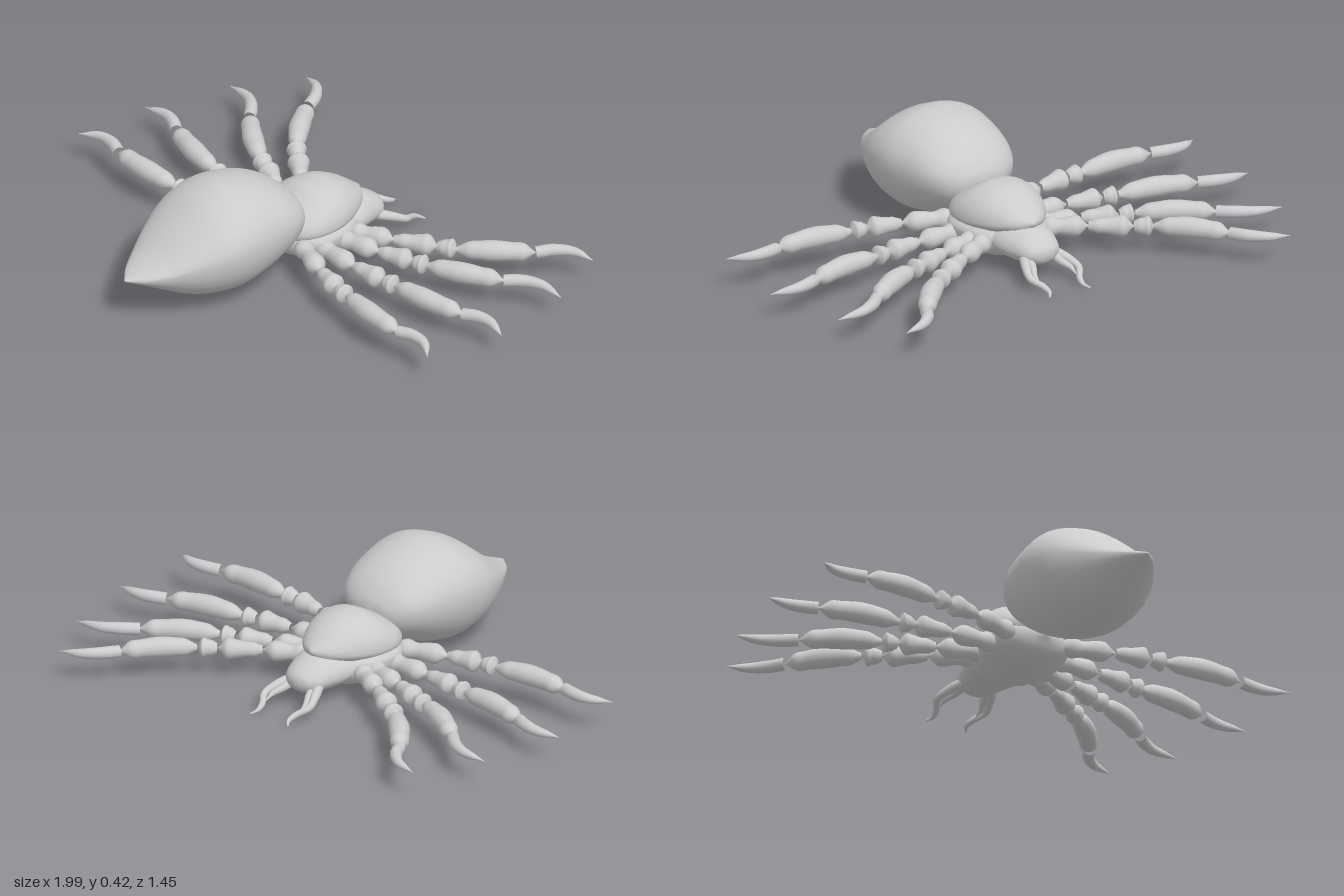
import * as THREE from 'three';
import { mergeVertices } from 'three/addons/utils/BufferGeometryUtils.js';

const material = new THREE.MeshStandardMaterial({ color: 0xcccccc });

function mesh(name, geometry) {
  const m = new THREE.Mesh(geometry, material);
  m.name = name;
  return m;
}

// Smooth body from stations [z, half width, bottom, widest height, top], in order of rising z
function loft(name, stations, rings = 40, sides = 36) {
  const plan = new THREE.CatmullRomCurve3(stations.map(s => new THREE.Vector3(s[0], s[1], 0)));
  const side = new THREE.CatmullRomCurve3(stations.map(s => new THREE.Vector3(s[2], s[3], s[4])));
  const pos = [], index = [];
  for (let i = 0; i <= rings; i++) {
    const p = plan.getPoint(i / rings), q = side.getPoint(i / rings);
    for (let j = 0; j < sides; j++) {
      const a = (j / sides) * Math.PI * 2, s = Math.sin(a);
      pos.push(p.y * Math.cos(a), q.y + s * (s > 0 ? q.z - q.y : q.y - q.x), p.x);
      if (i === rings) continue;
      const k = (j + 1) % sides, r = i * sides, n = r + sides;
      index.push(r + j, r + k, n + j, r + k, n + k, n + j);
    }
  }
  // end caps
  for (const [row, flip] of [[0, true], [rings * sides, false]]) {
    for (let j = 1; j < sides - 1; j++) {
      index.push(row, row + (flip ? j + 1 : j), row + (flip ? j : j + 1));
    }
  }
  const g = new THREE.BufferGeometry();
  g.setAttribute('position', new THREE.Float32BufferAttribute(pos, 3));
  g.setIndex(index);
  g.computeVertexNormals();
  return mesh(name, g);
}

// Tube along points whose radius follows evenly spaced values
function limb(name, points, radii, rings = 20, sides = 14) {
  const curve = new THREE.CatmullRomCurve3(points.map(p => new THREE.Vector3(...p)));
  const g = new THREE.TubeGeometry(curve, rings, 1, sides);
  const profile = new THREE.SplineCurve(radii.map((r, i) => new THREE.Vector2(i, r)));
  const pos = g.attributes.position, v = new THREE.Vector3();
  for (let i = 0; i <= rings; i++) {
    const c = curve.getPointAt(i / rings), r = Math.max(0.001, profile.getPoint(i / rings).y);
    for (let j = 0; j <= sides; j++) {
      const n = i * (sides + 1) + j;
      v.fromBufferAttribute(pos, n).sub(c).multiplyScalar(r).add(c);
      pos.setXYZ(n, v.x, v.y, v.z);
    }
  }
  g.deleteAttribute('uv');
  g.deleteAttribute('normal');
  const smooth = mergeVertices(g, 1e-5);
  smooth.computeVertexNormals();
  return mesh(name, smooth);
}

// Leg joints as [x, z]: hip, trochanter, knee, shin top, ankle, two claw bends, claw tip
const LEGS = [
  { y: 0.105, j: [[0.11, -0.185], [0.26, -0.27], [0.39, -0.36], [0.45, -0.4], [0.635, -0.6], [0.665, -0.655], [0.72, -0.705], [0.8, -0.725]] },
  { y: 0.1, j: [[0.11, -0.13], [0.285, -0.185], [0.41, -0.235], [0.465, -0.255], [0.71, -0.4], [0.755, -0.445], [0.82, -0.48], [0.925, -0.485]] },
  { y: 0.1, j: [[0.11, -0.045], [0.31, -0.055], [0.45, -0.073], [0.505, -0.085], [0.8, -0.145], [0.845, -0.17], [0.905, -0.182], [0.995, -0.163]] },
  { y: 0.12, j: [[0.1, 0.02], [0.29, 0.08], [0.42, 0.107], [0.48, 0.112], [0.78, 0.125], [0.835, 0.107], [0.9, 0.108], [0.973, 0.15]] },
];

function leg(name, { y, j }, s) {
  const g = new THREE.Group();
  g.name = name;
  const p = j.map(([x, z]) => [s * x, y, z]);
  // shin bows slightly out of a straight line
  const shinMid = [(p[3][0] + p[4][0]) / 2, y + 0.005, (p[3][2] + p[4][2]) / 2 + 0.01];
  g.add(
    limb('hipSegment', [p[0], p[1]], [0.02, 0.036, 0.028, 0.034, 0.034, 0.003]),
    limb('thighSegment', [p[1], p[2]], [0.016, 0.026, 0.028, 0.034, 0.037, 0.003]),
    limb('kneeSegment', [p[2], p[3]], [0.018, 0.027, 0.031, 0.034, 0.003]),
    limb('shinSegment', [p[3], shinMid, p[4]], [0.012, 0.03, 0.034, 0.037, 0.036, 0.033, 0.031, 0.003], 28),
    limb('claw', p.slice(4).map((q, i) => [q[0], y + [0, 0.004, 0.004, -0.003][i], q[2]]), [0.022, 0.022, 0.019, 0.013, 0.001]),
  );
  return g;
}

export function createModel() {
  const model = new THREE.Group();
  model.name = 'spider';

  model.add(loft('abdomen', [
    [-0.012, 0.005, 0.225, 0.24, 0.25],
    [0, 0.085, 0.18, 0.24, 0.285],
    [0.04, 0.15, 0.14, 0.25, 0.335],
    [0.11, 0.19, 0.1, 0.255, 0.385],
    [0.2, 0.212, 0.06, 0.255, 0.418],
    [0.3, 0.225, 0.035, 0.255, 0.427],
    [0.4, 0.215, 0.042, 0.245, 0.39],
    [0.5, 0.173, 0.07, 0.225, 0.315],
    [0.6, 0.112, 0.122, 0.2, 0.24],
    [0.67, 0.06, 0.158, 0.188, 0.205],
    [0.72, 0.004, 0.179, 0.182, 0.186],
  ], 50));

  model.add(loft('carapace', [
    [-0.32, 0.005, 0.18, 0.186, 0.192],
    [-0.29, 0.06, 0.15, 0.182, 0.215],
    [-0.23, 0.11, 0.13, 0.175, 0.257],
    [-0.16, 0.142, 0.11, 0.17, 0.283],
    [-0.09, 0.155, 0.1, 0.165, 0.283],
    [-0.02, 0.15, 0.1, 0.165, 0.25],
    [0.04, 0.11, 0.11, 0.16, 0.21],
    [0.08, 0.01, 0.15, 0.155, 0.16],
  ]));

  model.add(loft('underbody', [
    [-0.29, 0.01, 0.095, 0.1, 0.105],
    [-0.25, 0.09, 0.06, 0.11, 0.15],
    [-0.18, 0.145, 0.028, 0.12, 0.18],
    [-0.1, 0.165, 0.018, 0.125, 0.185],
    [-0.03, 0.165, 0.03, 0.125, 0.185],
    [0.04, 0.11, 0.06, 0.125, 0.17],
    [0.08, 0.01, 0.115, 0.12, 0.125],
  ]));

  model.add(loft('head', [
    [-0.405, 0.01, 0.09, 0.1, 0.11],
    [-0.395, 0.045, 0.07, 0.1, 0.128],
    [-0.37, 0.072, 0.055, 0.1, 0.147],
    [-0.32, 0.09, 0.05, 0.105, 0.172],
    [-0.26, 0.11, 0.05, 0.11, 0.18],
    [-0.18, 0.115, 0.06, 0.11, 0.17],
  ]));

  for (const s of [1, -1]) {
    const side = s > 0 ? 'left' : 'right';
    LEGS.forEach((l, i) => model.add(leg(`${side}Leg${i + 1}`, l, s)));

    // curved feeler with a thinner inner fang
    model.add(limb(`${side}Feeler`, [
      [s * 0.06, 0.085, -0.35], [s * 0.085, 0.07, -0.4], [s * 0.1, 0.05, -0.45],
      [s * 0.075, 0.03, -0.495], [s * 0.07, 0.018, -0.525], [s * 0.085, 0.008, -0.548],
    ], [0.018, 0.017, 0.014, 0.012, 0.01, 0.003], 28));
    model.add(limb(`${side}Fang`, [
      [s * 0.05, 0.08, -0.36], [s * 0.058, 0.065, -0.4], [s * 0.075, 0.05, -0.44], [s * 0.075, 0.035, -0.475],
    ], [0.018, 0.014, 0.01, 0.002]));
  }
  return model;
}
